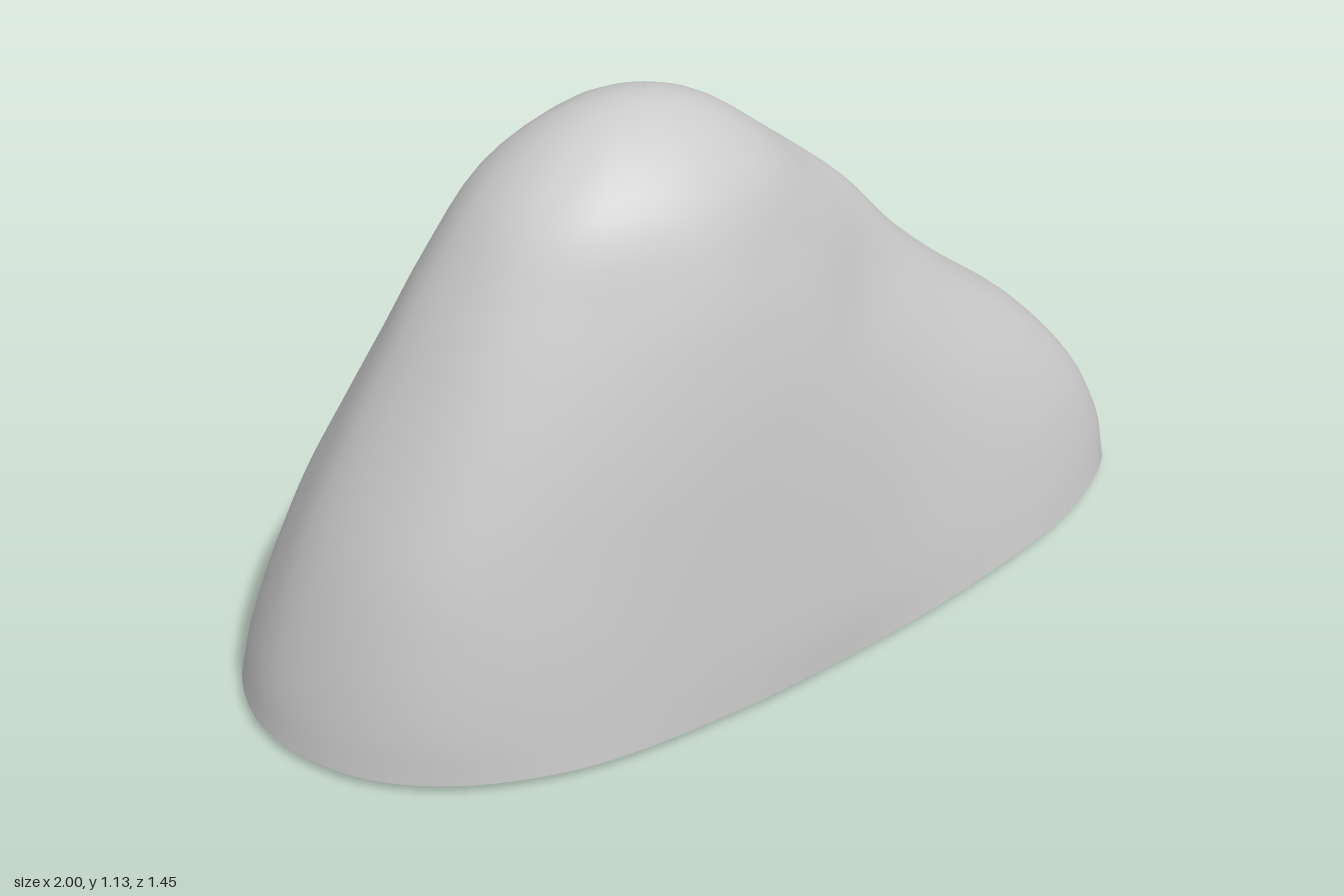
import * as THREE from 'three';
import { mergeVertices } from 'three/addons/utils/BufferGeometryUtils.js';

const PEAK = new THREE.Vector3(-0.27, 1.13, 0.38);
const SEGMENTS = 90; // around the mound
const STEPS = 4; // rings between two contours

// Round cap below the peak: height and the two radii of each oval contour
const CAP = [[1.1, 0.145, 0.11], [1.0, 0.292, 0.217]];

// Spokes running left -> back -> right -> front:
// rim x, rim z, then the distance from the peak axis to each contour below the cap
const HEIGHTS = [0.85, 0.7, 0.55, 0.4, 0.25, 0.12];
const SPOKES = [
  [-1.0, 0.26, 0.4, 0.485, 0.565, 0.635, 0.69, 0.725],
  [-0.95, 0.08, 0.375, 0.455, 0.535, 0.61, 0.675, 0.72],
  [-0.83, -0.05, 0.345, 0.425, 0.505, 0.585, 0.645, 0.685],
  [-0.42, -0.38, 0.3, 0.38, 0.47, 0.58, 0.68, 0.74],
  [-0.1, -0.65, 0.3, 0.385, 0.485, 0.635, 0.85, 0.98],
  [0.18, -0.73, 0.315, 0.41, 0.515, 0.695, 0.98, 1.145],
  [0.45, -0.58, 0.345, 0.463, 0.6, 0.81, 1.06, 1.16],
  [0.7, -0.27, 0.405, 0.545, 0.745, 0.985, 1.11, 1.155],
  [0.88, 0.0, 0.46, 0.62, 0.82, 1.035, 1.15, 1.195],
  [1.0, 0.25, 0.485, 0.643, 0.83, 1.035, 1.18, 1.25],
  [0.95, 0.44, 0.48, 0.62, 0.785, 0.975, 1.12, 1.195],
  [0.73, 0.58, 0.435, 0.545, 0.675, 0.81, 0.92, 0.985],
  [0.35, 0.67, 0.375, 0.44, 0.515, 0.575, 0.625, 0.662],
  [0.0, 0.71, 0.303, 0.35, 0.382, 0.405, 0.42, 0.429],
  [-0.27, 0.72, 0.275, 0.305, 0.322, 0.331, 0.336, 0.34],
  [-0.6, 0.69, 0.312, 0.36, 0.395, 0.418, 0.437, 0.447],
  [-0.83, 0.585, 0.37, 0.44, 0.5, 0.55, 0.58, 0.595],
  [-0.95, 0.45, 0.393, 0.473, 0.545, 0.608, 0.65, 0.674],
];

// The rim sags a little towards the back
const rimHeight = (x, z) => 0.02 - 0.02 * Math.exp(-((x + 0.2) ** 2 + (z + 0.57) ** 2) / 0.15);

// Closed contour curve with one point on every spoke
function contour(pointOnSpoke) {
  return new THREE.CatmullRomCurve3(SPOKES.map(pointOnSpoke), true, 'centripetal');
}

function along(angle, radius, y) {
  return new THREE.Vector3(PEAK.x + Math.cos(angle) * radius, y, PEAK.z + Math.sin(angle) * radius);
}

const spokeAngle = ([x, z]) => Math.atan2(z - PEAK.z, x - PEAK.x);

function moundGeometry() {
  const contours = [
    ...CAP.map(([y, rx, rz]) => contour((spoke) => {
      const a = spokeAngle(spoke);
      return along(a, 1 / Math.hypot(Math.cos(a) / rx, Math.sin(a) / rz), y);
    })),
    ...HEIGHTS.map((y, i) => contour((spoke) => along(spokeAngle(spoke), spoke[i + 2], y))),
    contour(([x, z]) => new THREE.Vector3(x, rimHeight(x, z), z)),
  ];
  const rings = contours.length * STEPS;
  const positions = [];
  const indices = [];

  // One smooth curve from peak to rim per segment; a mirrored first point keeps the summit round
  for (let j = 0; j < SEGMENTS; j++) {
    const points = contours.map((curve) => curve.getPoint(j / SEGMENTS));
    const mirrored = new THREE.Vector3(
      2 * PEAK.x - points[0].x, points[0].y, 2 * PEAK.z - points[0].z);
    const slope = new THREE.CatmullRomCurve3([mirrored, PEAK, ...points], false, 'catmullrom', 0.5);
    positions.push(...PEAK);
    for (let i = 1; i <= rings; i++) {
      positions.push(...slope.getPoint((1 + i / STEPS) / (contours.length + 1)));
    }
  }

  const row = rings + 1;
  for (let j = 0; j < SEGMENTS; j++) {
    for (let i = 0; i < rings; i++) {
      const a = j * row + i;
      const d = ((j + 1) % SEGMENTS) * row + i;
      indices.push(a, d + 1, a + 1);
      if (i > 0) indices.push(a, d, d + 1);
    }
  }

  const geometry = new THREE.BufferGeometry();
  geometry.setAttribute('position', new THREE.Float32BufferAttribute(positions, 3));
  geometry.setIndex(indices);
  const merged = mergeVertices(geometry, 1e-5);
  merged.computeVertexNormals();
  return merged;
}

export function createModel() {
  const group = new THREE.Group();
  group.name = 'mound';

  // Hollow shell, open underneath
  const shell = new THREE.Mesh(
    moundGeometry(),
    new THREE.MeshStandardMaterial({ color: 0xcccccc, side: THREE.DoubleSide }));
  shell.name = 'moundShell';
  group.add(shell);
  return group;
}
